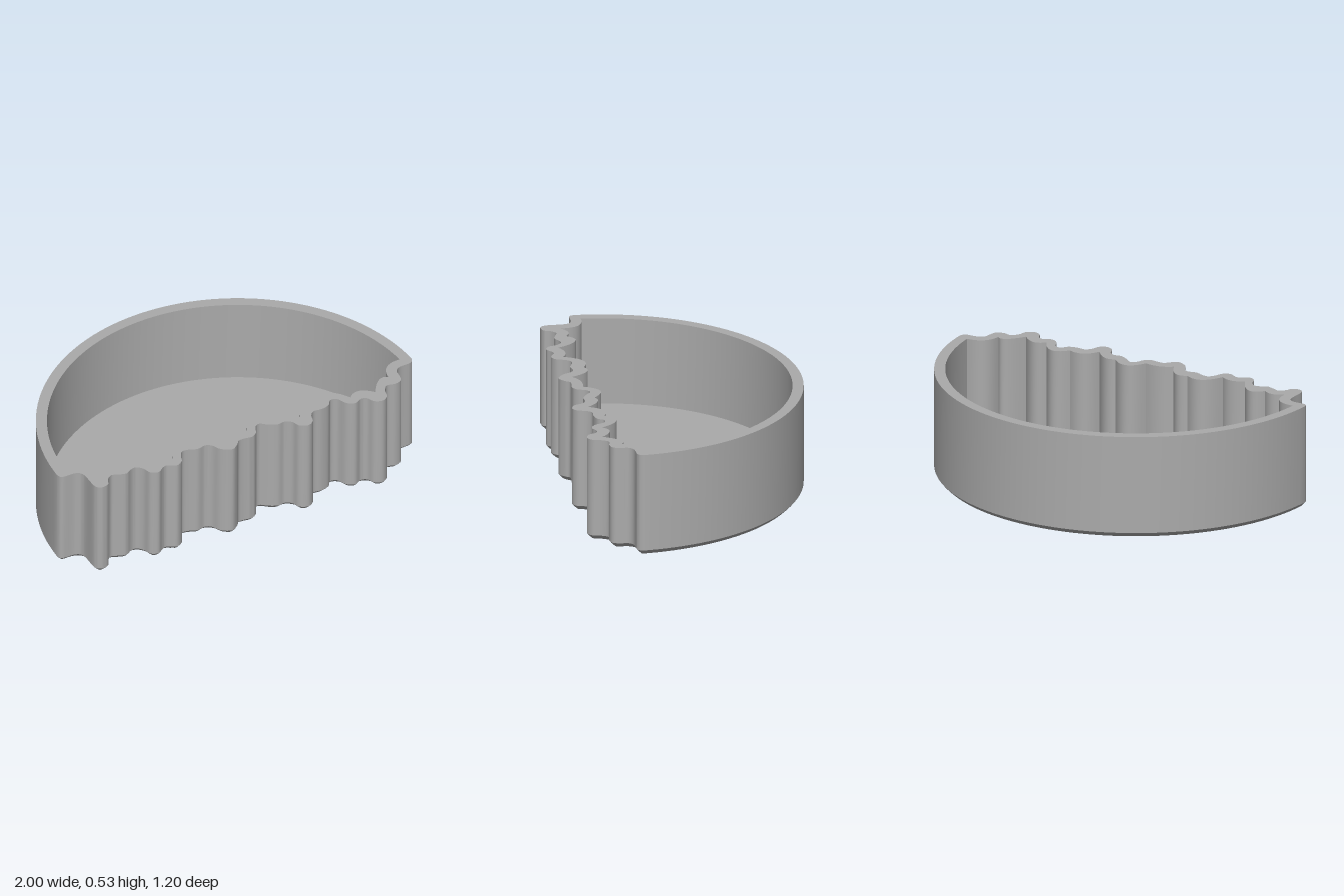
import * as THREE from 'three';
import { toCreasedNormals } from 'three/addons/utils/BufferGeometryUtils.js';

const HEIGHT = 0.53, FLOOR = 0.08, CZ = 0.395;
const V = (x, z) => new THREE.Vector2(x, z);
const grey = new THREE.MeshStandardMaterial({ color: 0xaaaaaa });
grey.name = 'grey';

// Back arc from the +x end round to the -x end
function backArc(radius, zEnd, n = 72) {
  const a0 = Math.asin((CZ - zEnd) / radius);
  return Array.from({ length: n + 1 }, (_, i) => {
    const a = a0 + (Math.PI - 2 * a0) * i / n;
    return V(Math.cos(a) * radius, CZ - Math.sin(a) * radius);
  });
}

// Rippled outer front edge, left to right: lobes and valleys
function outerOutline() {
  const front = [
    [-1, .36], [-.985, .387], [-.92, .39], [-.89, .405], [-.88, .44], [-.88, .52], [-.865, .55], [-.84, .556],
    [-.81, .545], [-.797, .515], [-.765, .49], [-.73, .502], [-.69, .513], [-.655, .495], [-.625, .492],
    [-.598, .52], [-.583, .562], [-.545, .579], [-.515, .56], [-.49, .55], [-.465, .562], [-.435, .574],
    [-.402, .555], [-.388, .52], [-.365, .488], [-.33, .488], [-.285, .505], [-.24, .497], [-.21, .515],
    [-.185, .56], [-.135, .589], [-.095, .565], [-.075, .542], [-.04, .54], [0, .545], [.032, .525],
    [.05, .485], [.08, .468], [.115, .495], [.16, .517], [.2, .513], [.232, .535], [.248, .575], [.29, .595],
    [.325, .575], [.338, .535], [.365, .507], [.41, .51], [.455, .498], [.48, .467], [.515, .475], [.54, .525],
    [.58, .547], [.62, .53], [.65, .54], [.67, .578], [.71, .594], [.745, .572], [.757, .53], [.785, .495],
    [.83, .503], [.868, .49], [.88, .45], [.885, .415], [.915, .392], [.98, .387], [1, .36]
  ].map(p => V(...p));
  const pts = new THREE.SplineCurve(front).getPoints((front.length - 1) * 4);
  return pts.concat(backArc(1, .36).slice(1, -1));
}

// Inner front edge: scallops given as cusp, crest, cusp, crest ...
function innerOutline() {
  const k = [
    [-.943, .337], [-.85, .365], [-.824, .46], [-.77, .43], [-.715, .45], [-.64, .415], [-.56, .515],
    [-.49, .493], [-.43, .515], [-.36, .425], [-.27, .44], [-.205, .435], [-.145, .52], [-.08, .487],
    [0, .49], [.07, .415], [.16, .46], [.22, .455], [.285, .515], [.34, .45], [.42, .455], [.5, .41],
    [.58, .495], [.64, .467], [.71, .515], [.775, .435], [.825, .44], [.86, .36], [.943, .337]
  ].map(p => V(...p));
  const pts = [];
  for (let i = 0; i + 2 < k.length; i += 2) {
    const ctrl = k[i + 1].clone().multiplyScalar(2).sub(k[i].clone().add(k[i + 2]).multiplyScalar(.5));
    pts.push(...new THREE.QuadraticBezierCurve(k[i], ctrl, k[i + 2]).getPoints(10).slice(0, -1));
  }
  return pts.concat(backArc(.945, .337).slice(0, -1));
}

// Move a closed outline inwards
function inset(pts, d) {
  const n = pts.length;
  return pts.map((p, i) => {
    const t = pts[(i + 1) % n].clone().sub(pts[(i + n - 1) % n]).normalize();
    return V(p.x + t.y * d, p.y - t.x * d);
  });
}

// Closed wall through rings of [outline, y]
function loft(rings, crease = 0.6) {
  const pos = [];
  for (let r = 0; r + 1 < rings.length; r++) {
    const [A, ya] = rings[r], [B, yb] = rings[r + 1];
    for (let i = 0; i < A.length; i++) {
      const j = (i + 1) % A.length;
      const a = [A[i].x, ya, A[i].y], b = [A[j].x, ya, A[j].y];
      const c = [B[j].x, yb, B[j].y], d = [B[i].x, yb, B[i].y];
      pos.push(...a, ...b, ...c, ...a, ...c, ...d);
    }
  }
  const g = new THREE.BufferGeometry();
  g.setAttribute('position', new THREE.Float32BufferAttribute(pos, 3));
  return toCreasedNormals(g, crease);
}

// Flat horizontal face, facing up or down, with optional holes
function face(pts, y, up, holes = []) {
  const s = up ? -1 : 1;
  const flip = list => list.map(p => V(p.x, p.y * s));
  const shape = new THREE.Shape(flip(pts));
  holes.forEach(h => shape.holes.push(new THREE.Path(flip(h))));
  return new THREE.ShapeGeometry(shape).rotateX(s * Math.PI / 2).translate(0, y, 0);
}

export function createModel() {
  const model = new THREE.Group();
  model.name = 'halfRoundTray';
  const add = (name, geometry) => {
    const mesh = new THREE.Mesh(geometry, grey);
    mesh.name = name;
    model.add(mesh);
  };
  const reversed = pts => pts.slice().reverse();

  const outer = outerOutline(), inner = innerOutline();
  const bottom = inset(outer, .024);

  // Shell with a stepped chamfer at the foot
  add('outerWall', loft([[outer, .025], [outer, HEIGHT]]));
  add('footChamfer', loft([[bottom, 0], [inset(outer, .008), .015], [outer, .025]], .3));
  add('innerWall', loft([[reversed(inner), FLOOR], [reversed(inner), HEIGHT]]));
  add('rim', face(outer, HEIGHT, true, [inner]));

  // Underside with a long round-ended groove
  const groove = [];
  for (const side of [1, -1]) {
    for (let i = 0; i <= 8; i++) {
      const a = Math.PI / 2 - Math.PI * i / 8;
      groove.push(V(side * (.83 + .02 * Math.cos(a)), .12 + side * .02 * Math.sin(a)));
    }
  }
  add('underside', face(bottom, 0, false, [groove]));
  add('grooveWall', loft([[reversed(groove), 0], [reversed(groove), .03]]));
  add('grooveTop', face(groove, .03, false));

  // Floor with a low round boss holding a cross-shaped socket
  const boss = Array.from({ length: 40 }, (_, i) => {
    const a = -i / 40 * Math.PI * 2;
    return V(.097 * Math.cos(a), .03 + .097 * Math.sin(a));
  });
  const cross = [];
  for (let q = 0; q < 4; q++) {
    for (const [x, z] of [[-.025, .075], [.025, .075], [.025, .025]]) {
      const a = -q * Math.PI / 2, c = Math.cos(a), s = Math.sin(a);
      cross.push(V(x * c - z * s, .03 + x * s + z * c));
    }
  }
  const top = FLOOR + .02, deep = FLOOR - .03;
  add('floor', face(inner, FLOOR, true, [boss]));
  add('bossWall', loft([[boss, FLOOR], [boss, top]]));
  add('bossTop', face(boss, top, true, [cross]));
  add('socketWall', loft([[reversed(cross), deep], [reversed(cross), top]]));
  add('socketFloor', face(cross, deep, true));
  return model;
}
